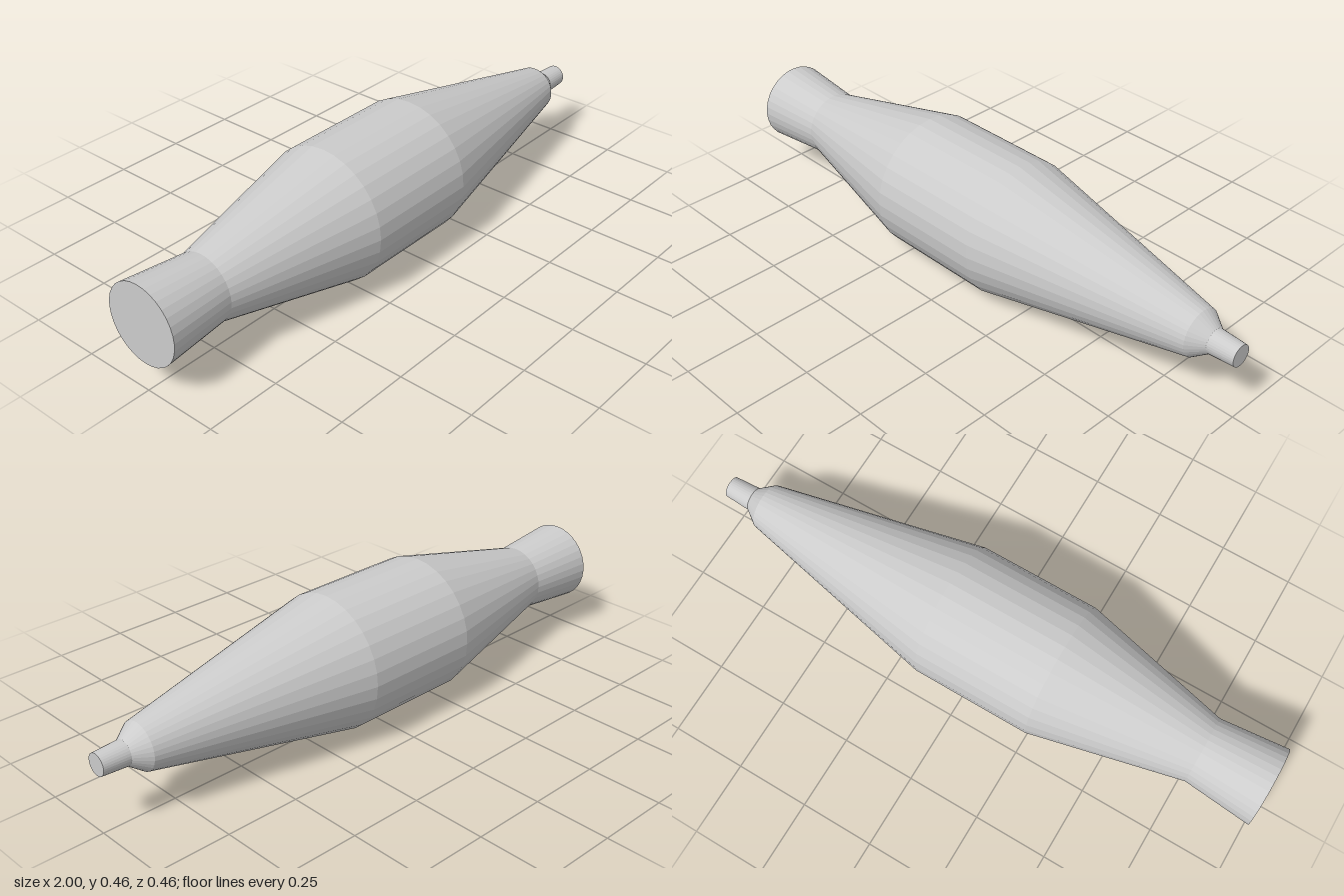
import * as THREE from 'three';

const SIDES = 32;
const AXIS_Y = 0.2275;

export function createModel() {
  const group = new THREE.Group();
  const material = new THREE.MeshStandardMaterial({ color: 0xcccccc, flatShading: true });

  // Faceted shell turned about the x axis; profile points are [x, radius], from -x to +x
  function turned(name, profile) {
    const points = profile.map(([x, r]) => new THREE.Vector2(r, x));
    const geometry = new THREE.LatheGeometry(points, SIDES);
    geometry.rotateZ(-Math.PI / 2);
    const mesh = new THREE.Mesh(geometry, material);
    mesh.name = name;
    mesh.position.y = AXIS_Y;
    group.add(mesh);
  }

  // Flat disc closing one end; side is +1 or -1 along x
  function endCap(name, x, radius, side) {
    const geometry = new THREE.CircleGeometry(radius, SIDES);
    geometry.rotateY(side * Math.PI / 2);
    const mesh = new THREE.Mesh(geometry, material);
    mesh.name = name;
    mesh.position.set(x, AXIS_Y, 0);
    group.add(mesh);
  }

  // Flared tail
  endCap('tailCap', -1, 0.133, -1);
  turned('tail', [[-1, 0.133], [-0.77, 0.112]]);

  // Rear taper, straight middle and long front taper
  turned('body', [[-0.77, 0.112], [-0.265, 0.2275], [0.14, 0.2275], [0.86, 0.078]]);

  // Shoulder and narrow tip
  turned('shoulder', [[0.86, 0.078], [0.91, 0.041]]);
  turned('tip', [[0.91, 0.041], [1, 0.036]]);
  endCap('tipCap', 1, 0.036, 1);

  return group;
}
